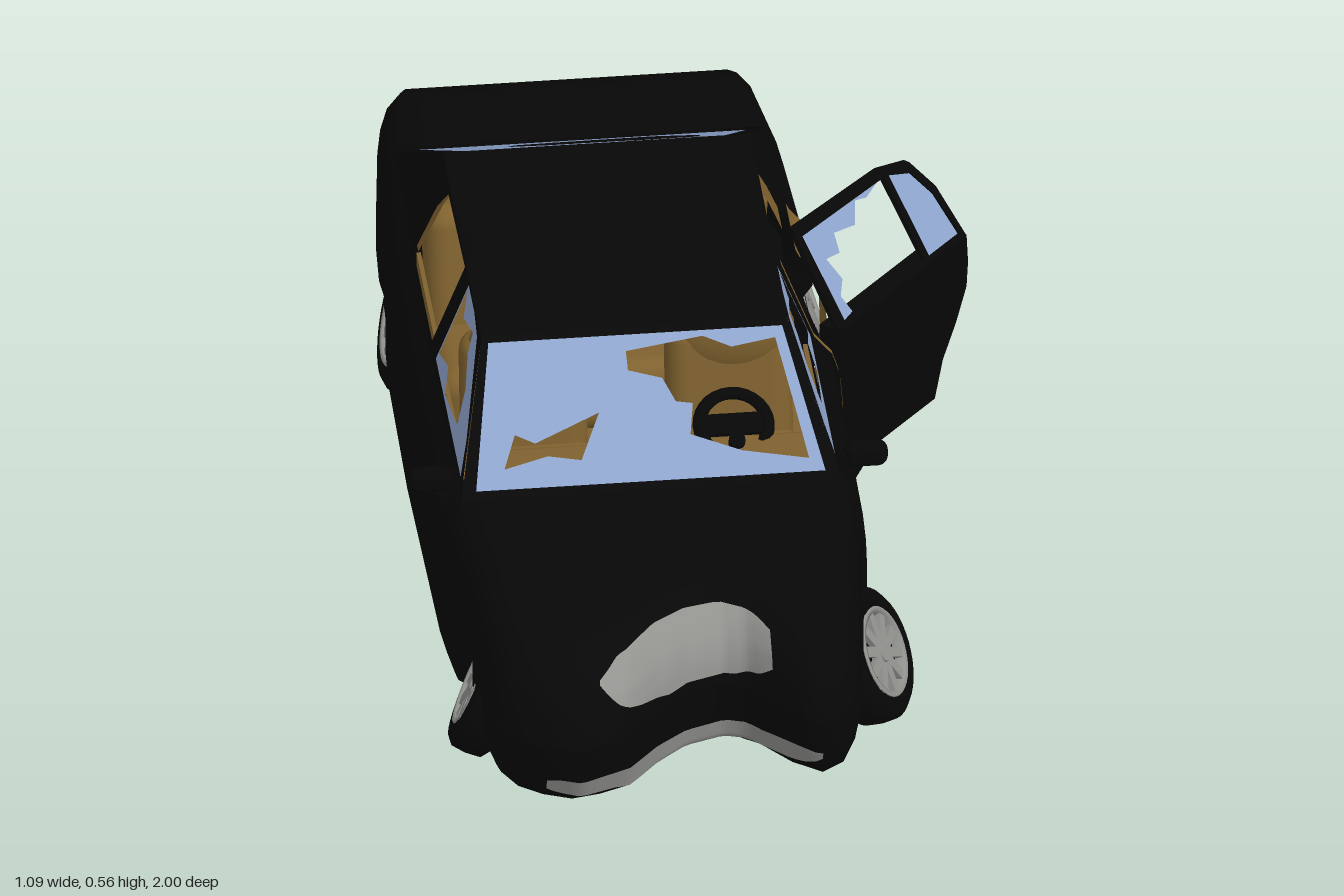
import * as THREE from 'three';
import { RoundedBoxGeometry } from 'three/addons/geometries/RoundedBoxGeometry.js';

const flat = (name, color) => {
  const m = new THREE.MeshStandardMaterial({ color, side: THREE.DoubleSide });
  m.name = name;
  return m;
};
const CX = -0.12; // middle of the body; the open door widens the left

// Linear lookup in rows sorted by their first entry
function lookup(rows, k) {
  if (k <= rows[0][0]) return rows[0].slice(1);
  for (let i = 1; i < rows.length; i++) if (k <= rows[i][0]) {
    const a = rows[i - 1], b = rows[i], t = (k - a[0]) / (b[0] - a[0]);
    return a.slice(1).map((v, j) => v + (b[j + 1] - v) * t);
  }
  return rows[rows.length - 1].slice(1);
}

// Crumpled nose: how far forward the front reaches at each x
const crumple = [[-0.39, 0.8], [-0.34, 0.87], [-0.28, 0.95], [-0.19, 0.99], [-0.1, 0.95], [-0.04, 0.87], [0.02, 0.81],
  [0.09, 0.785], [0.13, 0.8], [0.17, 0.855], [0.23, 0.94], [0.26, 0.945], [0.3, 0.91], [0.33, 0.83], [0.39, 0.72]];
const squash = (x, z) => z < 0.5 ? z : 0.5 + (z - 0.5) * (lookup(crumple, x)[0] - 0.5) / 0.5 * 1.01;

// Body stations: z, half width, bottom, top
const stations = [
  [-1, 0.3, 0.22, 0.22], [-0.985, 0.315, 0.13, 0.25], [-0.955, 0.325, 0.105, 0.28], [-0.94, 0.33, 0.1, 0.385],
  [-0.9, 0.345, 0.09, 0.403], [-0.7, 0.37, 0.065, 0.415], [-0.46, 0.385, 0.04, 0.395], [-0.42, 0.386, 0.04, 0.392],
  [-0.38, 0.388, 0.04, 0.39], [-0.06, 0.392, 0.035, 0.387], [0.42, 0.387, 0.037, 0.385], [0.7, 0.362, 0.05, 0.375],
  [0.85, 0.35, 0.058, 0.35], [0.92, 0.342, 0.064, 0.315], [0.96, 0.338, 0.075, 0.285], [0.985, 0.335, 0.12, 0.25], [1, 0.33, 0.2, 0.2]];
const half = [[0, 0], [0.15, 0], [0.3, 0], [0.45, 0], [0.6, 0], [0.75, 0], [0.87, 0.01], [0.95, 0.06], [0.985, 0.2],
  [1, 0.4], [1, 0.6], [0.985, 0.76], [0.95, 0.9], [0.88, 1], [0.74, 1], [0.6, 1], [0.45, 1], [0.3, 1], [0.15, 1], [0, 1]];
const wheelZ = [0.645, -0.545];

function bodyGeometry() {
  const ring = [...half, ...half.slice(1, -1).reverse().map(([u, v]) => [-u, v])];
  const zs = [];
  stations.forEach((s, i) => {
    const next = stations[i + 1];
    const n = next ? Math.ceil((next[0] - s[0]) / 0.035) : 1;
    for (let k = 0; k < n; k++) zs.push(next ? s[0] + (next[0] - s[0]) * k / n : s[0]);
  });
  const pos = [], idx = [], n = ring.length;
  for (const z of zs) {
    const [w, lo, hi] = lookup(stations, z);
    for (const [u, v] of ring) {
      const y = lo + (hi - lo) * v;
      let x = u * w;
      // wheel arches
      if (Math.abs(u) > 0.8 && wheelZ.some(c => Math.hypot(z - c, y - 0.15) < 0.135)) x *= 0.87;
      pos.push(x, y, squash(x, z));
    }
  }
  for (let i = 0; i + 1 < zs.length; i++) for (let j = 0; j < n; j++) {
    const z = (zs[i] + zs[i + 1]) / 2, v = ring[j][1];
    if (z > -0.7 && z < 0.42 && j >= 13 && j < n - 13) continue; // open cabin
    const back = v > 0.7 ? -0.46 : v > 0.3 ? -0.42 : -0.38;
    if (z > back && z < -0.06 && j >= 8 && j < 13) continue; // rear left doorway
    const a = i * n + j, b = i * n + (j + 1) % n;
    idx.push(a, b, a + n, b, b + n, a + n);
  }
  const g = new THREE.BufferGeometry();
  g.setAttribute('position', new THREE.Float32BufferAttribute(pos, 3));
  g.setIndex(idx);
  g.computeVertexNormals();
  return g;
}

// Move every vertex of a geometry by a rule
function warp(g, rule) {
  const p = g.attributes.position;
  for (let i = 0; i < p.count; i++) p.setXYZ(i, ...rule(p.getX(i), p.getY(i), p.getZ(i)));
  g.computeVertexNormals();
  return g;
}
const shape = (pts, holes = []) => {
  const s = new THREE.Shape(pts.map(p => new THREE.Vector2(...p)));
  s.holes = holes.map(h => new THREE.Path(h.map(p => new THREE.Vector2(...p))));
  return s;
};
const panel = (pts, holes, rule) => warp(new THREE.ShapeGeometry(shape(pts, holes)), rule);

export function createModel() {
  const paint = flat('blackPaint', 0x070707), glass = flat('blueGlass', 0x8ea4cc);
  const trim = flat('brownInterior', 0x80622f), metal = flat('greyMetal', 0x92928f);
  const root = new THREE.Group(), car = new THREE.Group();
  root.name = 'wreckedCar';
  car.name = 'car';
  car.position.x = CX;
  root.add(car);
  const add = (name, geo, mat, at = [0, 0, 0], parent = car) => {
    const m = new THREE.Mesh(geo, mat);
    m.name = name;
    m.position.set(...at);
    parent.add(m);
    return m;
  };
  add('body', bodyGeometry(), paint);

  // Roof, slightly domed
  add('roof', warp(new THREE.PlaneGeometry(2, 2, 12, 12), (u, v) =>
    [u * 0.277, 0.555 + 0.021 * (1 - u ** 4) * (1 - v * v), -0.155 - v * 0.305]), paint);

  // Windscreen and rear window: black frames and broken panes
  const front = (x, y) => [x, y, 0.42 - (y - 0.39) / 0.165 * 0.27];
  const rear = (x, y) => [x, y, -0.7 + (y - 0.41) / 0.145 * 0.24];
  const frontPane = [[-0.315, 0.394], [0.315, 0.394], [0.265, 0.547], [-0.265, 0.547]];
  const rearPane = [[-0.295, 0.422], [0.295, 0.422], [0.235, 0.545], [-0.235, 0.545]];
  add('windscreenFrame', panel([[-0.345, 0.38], [0.345, 0.38], [0.275, 0.556], [-0.275, 0.556]], [frontPane], front), paint);
  add('rearWindowFrame', panel([[-0.34, 0.405], [0.34, 0.405], [0.275, 0.556], [-0.275, 0.556]], [rearPane], rear), paint);
  add('windscreen', panel(frontPane, [
    [[-0.02, 0.53], [-0.02, 0.51], [0.04, 0.5], [0.06, 0.475], [0.09, 0.472], [0.08, 0.44], [0.17, 0.42], [0.288, 0.408],
      [0.27, 0.47], [0.25, 0.535], [0.17, 0.528], [0.12, 0.541]],
    [[-0.26, 0.415], [-0.235, 0.45], [-0.2, 0.44], [-0.08, 0.468], [-0.12, 0.42], [-0.18, 0.426]]], front), glass);
  add('rearWindow', panel(rearPane, [[[-0.15, 0.5], [-0.13, 0.465], [-0.04, 0.452], [0.03, 0.45], [0.12, 0.445],
    [0.17, 0.47], [0.2, 0.49], [0.19, 0.532], [0.08, 0.535], [0.05, 0.525], [-0.08, 0.522]]], rear), glass);

  // Cabin sides: drawn in z and y, leaning in towards the roof
  const frontWindow = [[0.365, 0.396], [0.31, 0.44], [0.13, 0.54], [0.06, 0.548], [-0.03, 0.548], [-0.03, 0.396]];
  const rearWindow = [[-0.09, 0.396], [-0.09, 0.548], [-0.34, 0.544], [-0.37, 0.5], [-0.385, 0.396]];
  const doorway = [[-0.06, 0.375], [-0.06, 0.55], [-0.34, 0.547], [-0.37, 0.5], [-0.39, 0.41], [-0.46, 0.4], [-0.46, 0.375]];
  const breakage = [[0.23, 0.42], [0.19, 0.47], [0.12, 0.5], [0.1, 0.53], [0.02, 0.51], [-0.025, 0.54],
    [-0.025, 0.41], [0.05, 0.43], [0.1, 0.402], [0.18, 0.412]];
  for (const s of [1, -1]) {
    const lean = (z, y) => [s * (0.34 - 0.39 * (y - 0.39)), y, z];
    const inside = (z, y) => [s * (0.328 - 0.39 * (y - 0.39)), y, z];
    const side = s > 0 ? 'left' : 'right';
    add(side + 'CabinSide', panel([[0.435, 0.37], [0.15, 0.556], [-0.46, 0.556], [-0.71, 0.4], [-0.71, 0.37]],
      [frontWindow, s > 0 ? doorway : rearWindow], lean), paint);
    add(side + 'FrontWindow', panel(frontWindow, [breakage], lean), glass);
    // Brown linings inside the rear pillar and front door
    add(side + 'RearPillarLining', panel([[-0.395, 0.39], [-0.375, 0.5], [-0.355, 0.54], [-0.45, 0.54], [-0.63, 0.42], [-0.63, 0.39]],
      [], inside), trim);
    add(side + 'FrontDoorLining', new THREE.BoxGeometry(0.008, 0.3, 0.4), trim, [s * 0.327, 0.235, 0.18]);
    // Door mirror
    add(side + 'Mirror', new RoundedBoxGeometry(0.08, 0.048, 0.04, 4, 0.019), paint, [s * 0.392, 0.398, 0.37]);
    add(side + 'MirrorArm', new THREE.BoxGeometry(0.05, 0.05, 0.03), paint, [s * 0.355, 0.375, 0.37]).rotation.z = -s * 0.5;
  }
  add('rightRearDoorLining', new THREE.BoxGeometry(0.008, 0.3, 0.31), trim, [-0.327, 0.235, -0.245]);

  // Rear left door, swung open on its front edge: s along, y up, t outwards
  const swing = (s, y, t) => {
    const out = t - Math.max(0, y - 0.39) * 0.64 - Math.max(0, 0.2 - y) * 0.06;
    return [0.393 + 0.622 * s + 0.749 * out, y, -0.045 - 0.704 * s + 0.662 * out];
  };
  const plate = (pts, holes, depth) =>
    warp(new THREE.ExtrudeGeometry(shape(pts, holes), { depth, bevelEnabled: false }).translate(0, 0, -depth), swing);
  const doorPane = [[0.025, 0.396], [0.025, 0.545], [0.29, 0.54], [0.29, 0.396]];
  const quarter = [[0.305, 0.396], [0.305, 0.538], [0.36, 0.52], [0.392, 0.47], [0.405, 0.396]];
  const door = new THREE.Group();
  door.name = 'openRearDoor';
  car.add(door);
  add('doorPanel', plate([[0, 0.085], [0.325, 0.085], [0.345, 0.16], [0.385, 0.22], [0.42, 0.28], [0.425, 0.33],
    [0.42, 0.39], [0, 0.39]], [], 0.045), paint, [0, 0, 0], door);
  add('doorWindowFrame', plate([[0, 0.388], [0.42, 0.388], [0.405, 0.48], [0.37, 0.535], [0.29, 0.553], [0.01, 0.561]],
    [doorPane, quarter], 0.012), paint, [0, 0, 0], door);
  const inPane = (s, y) => swing(s, y, -0.006);
  add('doorQuarterGlass', panel(quarter, [], inPane), glass, [0, 0, 0], door);
  add('doorGlassShards', panel([[0.025, 0.396], [0.025, 0.545], [0.29, 0.54], [0.23, 0.528], [0.2, 0.535], [0.17, 0.505],
    [0.11, 0.515], [0.1, 0.485], [0.06, 0.49], [0.075, 0.45], [0.05, 0.43], [0.06, 0.4]], [], inPane), glass, [0, 0, 0], door);

  // Brown trim on the doorway edges, following the body side from z0(y) to z1(y)
  const skin = [[0.085, 0.377], [0.11, 0.389], [0.18, 0.396], [0.25, 0.396], [0.31, 0.391], [0.355, 0.377], [0.39, 0.346], [0.55, 0.284]];
  const sideStrip = (top, edges) => warp(new THREE.PlaneGeometry(1, 1, 4, 24), (u, v) => {
    const y = 0.09 + (top - 0.09) * (v + 0.5), [z0, z1] = lookup(edges, y);
    return [lookup(skin, y)[0], y, z0 + (z1 - z0) * (0.5 - u)];
  });
  add('doorwayTrim', sideStrip(0.4, [[0.09, -0.22, -0.38], [0.2, -0.24, -0.4], [0.28, -0.27, -0.435], [0.34, -0.3, -0.46],
    [0.4, -0.31, -0.465]]), trim);
  add('pillarTrim', sideStrip(0.545, [[0.09, -0.02, -0.033], [0.4, -0.03, -0.043], [0.54, -0.04, -0.056]]), trim);

  // Interior
  add('floor', new THREE.BoxGeometry(0.72, 0.03, 0.85), trim, [0, 0.07, 0.035]);
  add('dashboard', new RoundedBoxGeometry(0.66, 0.16, 0.18, 3, 0.02), trim, [0, 0.293, 0.325]);
  add('rearBench', new RoundedBoxGeometry(0.62, 0.14, 0.28, 3, 0.04), trim, [0, 0.15, -0.37]);
  add('rearBackrest', new RoundedBoxGeometry(0.62, 0.32, 0.1, 3, 0.04), trim, [0, 0.27, -0.47]).rotation.x = -0.2;
  add('rearShelf', new THREE.BoxGeometry(0.62, 0.012, 0.2), trim, [0, 0.396, -0.57]);
  for (const x of [-0.18, 0.19]) {
    add('frontSeat', new RoundedBoxGeometry(0.24, 0.12, 0.26, 3, 0.04), trim, [x, 0.17, 0.08]);
    add('frontBackrest', new RoundedBoxGeometry(0.23, 0.3, 0.08, 3, 0.04), trim, [x, 0.29, -0.03]).rotation.x = -0.15;
    add('seatTop', new THREE.SphereGeometry(0.11, 24, 16), trim, [x + 0.01, 0.415, -0.035]).scale.set(1, 0.82, 0.38);
  }
  const steering = add('steeringWheel', new THREE.TorusGeometry(0.062, 0.012, 8, 28), paint, [0.17, 0.385, 0.23]);
  steering.rotation.x = -1.0;
  add('steeringSpoke', new THREE.BoxGeometry(0.12, 0.04, 0.012), paint, [0, 0, 0], steering);
  add('steeringColumn', new THREE.CylinderGeometry(0.015, 0.015, 0.1, 10), paint, [0.17, 0.35, 0.26]).rotation.x = 0.6;

  // Bent grille and bumper strip, laid over the crumpled nose
  const nose = [[0.06, 0.93], [0.085, 0.965], [0.14, 0.988], [0.2, 1], [0.25, 0.985], [0.285, 0.96], [0.315, 0.92], [0.35, 0.85]];
  const onNose = (x0, x1, low, high, lift) => warp(new THREE.PlaneGeometry(1, 1, 36, 8), (u, v) => {
    const t = u + 0.5, x = x0 + (x1 - x0) * t;
    const y = THREE.MathUtils.lerp(lookup(low, t)[0], lookup(high, t)[0], v + 0.5);
    return [x, y, squash(x, lookup(nose, y)[0]) + lift];
  });
  const grilleLow = [[0, 0.3], [0.1, 0.268], [0.25, 0.245], [0.42, 0.224], [0.8, 0.224], [0.93, 0.24], [1, 0.262]];
  const grilleHigh = [[0, 0.306], [0.12, 0.328], [0.35, 0.337], [0.7, 0.336], [0.93, 0.328], [1, 0.318]];
  add('grilleSurround', onNose(-0.155, 0.175, grilleLow.map(([t, y]) => [t, y - 0.005]),
    grilleHigh.map(([t, y]) => [t, y + 0.005]), 0.008), paint);
  add('grille', onNose(-0.15, 0.17, grilleLow, grilleHigh, 0.013), metal);
  add('bumperStrip', onNose(-0.25, 0.25, [[0, 0.106], [0.04, 0.1], [0.25, 0.095], [0.32, 0.086], [0.55, 0.077], [0.75, 0.08], [0.9, 0.095], [1, 0.125]],
    [[0, 0.128], [0.04, 0.135], [0.28, 0.138], [0.55, 0.12], [0.8, 0.123], [0.95, 0.144], [1, 0.14]], 0.016), metal);

  // Splayed wheels: tyre profile turned about the axle, ten spokes
  const tyre = new THREE.LatheGeometry([[0.02, -0.04], [0.115, -0.045], [0.135, -0.03], [0.138, 0], [0.135, 0.03],
    [0.12, 0.043], [0.095, 0.043], [0.088, 0.022], [0.001, 0.022]].map(p => new THREE.Vector2(...p)), 40);
  const rim = new THREE.LatheGeometry([[0.093, 0.044], [0.09, 0.047], [0.081, 0.045], [0.077, 0.026]].map(p => new THREE.Vector2(...p)), 40);
  const spoke = new THREE.BoxGeometry(0.066, 0.012, 0.021);
  const hub = new THREE.CylinderGeometry(0.02, 0.026, 0.022, 20);
  const wheel = (name, at, axle, size) => {
    const g = new THREE.Group();
    g.name = name;
    g.position.set(...at);
    g.scale.setScalar(size);
    g.quaternion.setFromUnitVectors(new THREE.Vector3(0, 1, 0), new THREE.Vector3(...axle).normalize());
    car.add(g);
    add('tyre', tyre, paint, [0, 0, 0], g);
    add('rim', rim, metal, [0, 0, 0], g);
    add('hub', hub, metal, [0, 0.035, 0], g);
    for (let i = 0; i < 10; i++) {
      const a = i * Math.PI / 5;
      add('spoke', spoke, metal, [Math.cos(a) * 0.05, 0.036, -Math.sin(a) * 0.05], g).rotation.y = a;
    }
  };
  wheel('frontLeftWheel', [0.362, 0.138, 0.638], [0.85, 0.42, 0.34], 0.9);
  wheel('frontRightWheel', [-0.315, 0.135, 0.665], [-0.88, 0.38, -0.2], 0.9);
  wheel('rearLeftWheel', [0.347, 0.147, wheelZ[1]], [0.93, 0.33, 0], 0.98);
  wheel('rearRightWheel', [-0.312, 0.147, wheelZ[1]], [-0.95, 0.25, 0], 0.98);
  return root;
}
